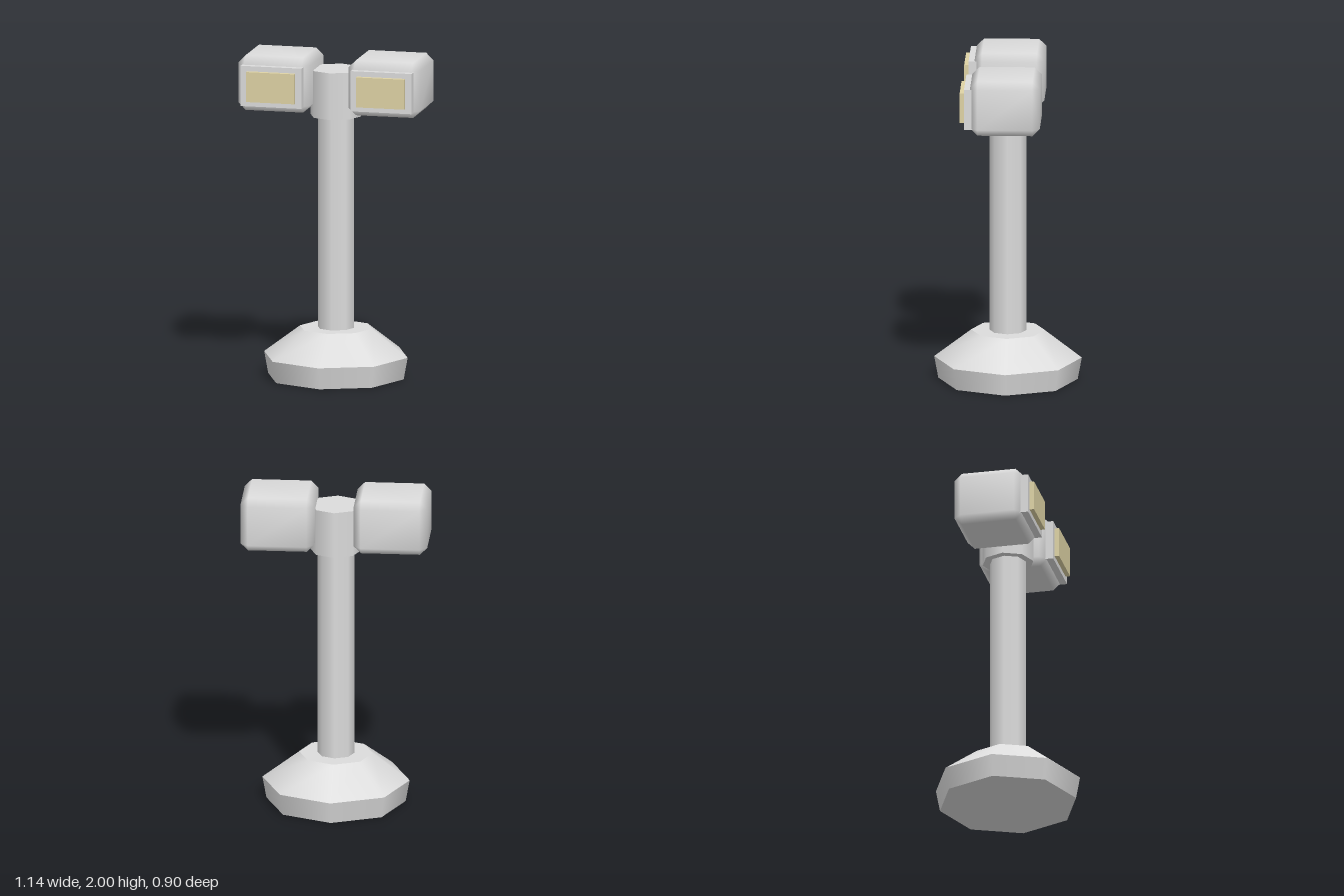
import * as THREE from 'three';
import { mergeVertices } from 'three/addons/utils/BufferGeometryUtils.js';
import { ConvexGeometry } from 'three/addons/geometries/ConvexGeometry.js';

const grey = new THREE.MeshStandardMaterial({ color: 0xdcdcdc });
grey.name = 'lightGrey';
const tan = new THREE.MeshStandardMaterial({ color: 0xdfd3a5 });
tan.name = 'lensTan';

function add(parent, name, geometry, material, x = 0, y = 0, z = 0) {
  const mesh = new THREE.Mesh(geometry, material);
  mesh.name = name;
  mesh.position.set(x, y, z);
  parent.add(mesh);
  return mesh;
}

// Eight-sided band between two heights, corners on the axes
function band(parent, name, rBottom, rTop, y0, y1, open = false) {
  const geometry = new THREE.CylinderGeometry(rTop, rBottom, y1 - y0, 8, 1, open);
  return add(parent, name, geometry, grey, 0, (y0 + y1) / 2, 0);
}

// Box with single chamfers and smooth shared normals
function chamferBox(w, h, d, c) {
  const points = [];
  for (const sx of [-1, 1]) for (const sy of [-1, 1]) for (const sz of [-1, 1]) {
    for (let axis = 0; axis < 3; axis++) {
      const inset = [c, c, c];
      inset[axis] = 0;
      points.push(new THREE.Vector3(
        sx * (w / 2 - inset[0]), sy * (h / 2 - inset[1]), sz * (d / 2 - inset[2])));
    }
  }
  const hull = new ConvexGeometry(points);
  hull.deleteAttribute('normal');
  const geometry = mergeVertices(hull, 1e-4);
  geometry.computeVertexNormals();
  return geometry;
}

export function createModel() {
  const model = new THREE.Group();
  model.name = 'twinHeadLamp';

  // Foot: flared skirt and sloping shoulder
  const foot = new THREE.Group();
  foot.name = 'foot';
  model.add(foot);
  band(foot, 'footSkirt', 0.425, 0.45, 0, 0.135);
  band(foot, 'footShoulder', 0.45, 0.225, 0.135, 0.305);

  // Post and collar
  band(model, 'post', 0.113, 0.113, 0.3, 1.63);
  band(model, 'collar', 0.158, 0.158, 1.62, 1.91);

  // Pair of lamp heads with frame and lens
  for (const [side, s] of [['left', 1], ['right', -1]]) {
    const head = new THREE.Group();
    head.name = side + 'Head';
    head.position.set(s * 0.345, 1.83, 0);
    model.add(head);
    add(head, 'housing', chamferBox(0.45, 0.34, 0.425, 0.045), grey, 0, 0, -0.002);
    add(head, 'frame', new THREE.BoxGeometry(0.382, 0.25, 0.06), grey, 0, -0.006, 0.217);
    add(head, 'lens', new THREE.BoxGeometry(0.302, 0.186, 0.04), tan, 0, -0.006, 0.255);
  }
  return model;
}
